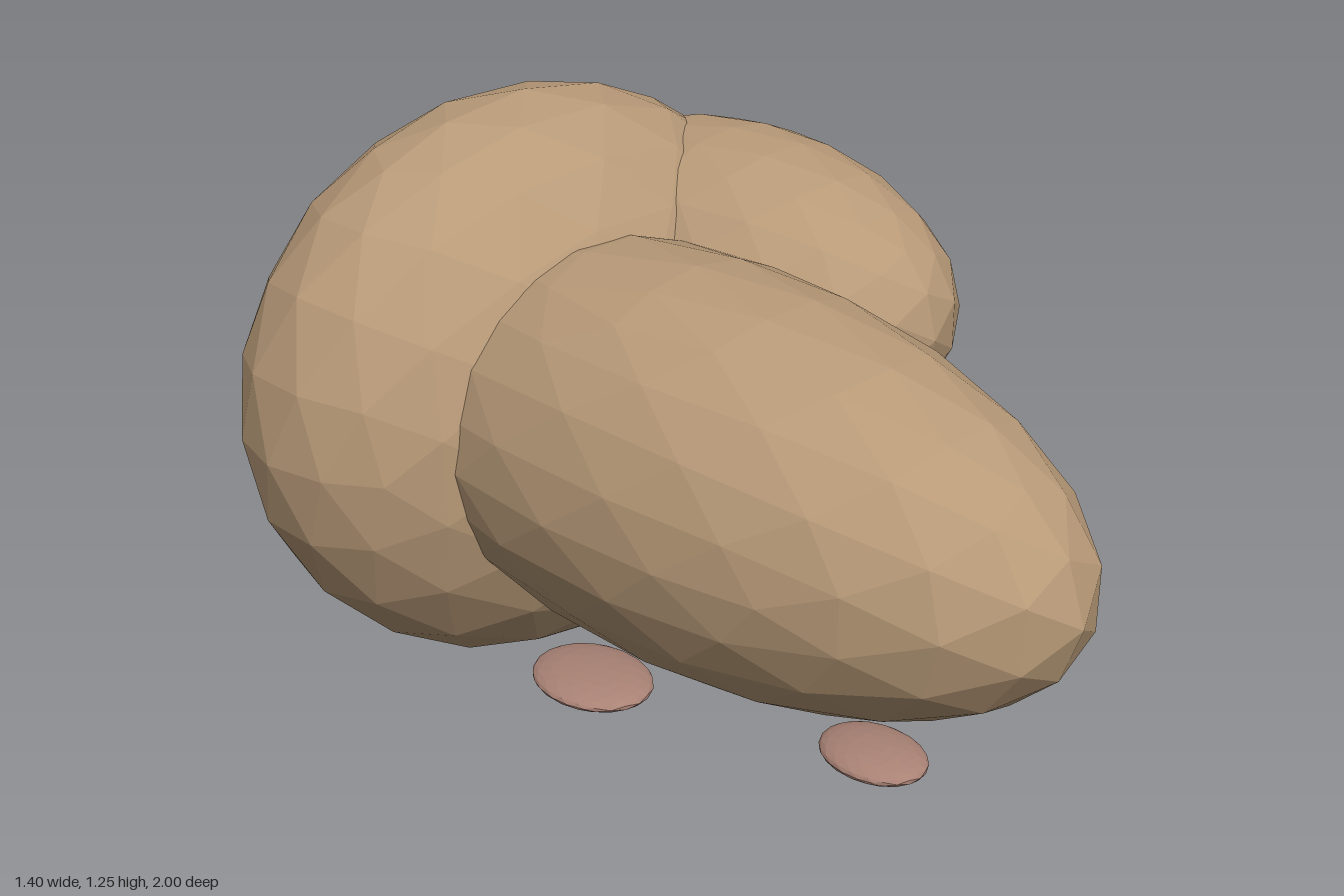
import * as THREE from 'three';

export function createModel() {
  const group = new THREE.Group();
  const tan = new THREE.MeshStandardMaterial({ color: 0xb89a78, flatShading: true });
  tan.name = 'tan';
  const rose = new THREE.MeshStandardMaterial({ color: 0xa98275, flatShading: true });
  rose.name = 'dusty rose';

  // faceted ellipsoid: centre and radii
  function ellipsoid(name, material, centre, radii) {
    const geometry = new THREE.IcosahedronGeometry(1, 3);
    geometry.scale(...radii);
    const mesh = new THREE.Mesh(geometry, material);
    mesh.name = name;
    mesh.position.set(...centre);
    group.add(mesh);
  }

  // three merged body masses
  ellipsoid('rearBody', tan, [-0.01, 0.625, -0.535], [0.695, 0.625, 0.465]);
  ellipsoid('longBody', tan, [-0.105, 0.645, 0.07], [0.405, 0.405, 0.93]);
  ellipsoid('sideBody', tan, [0.35, 0.825, -0.285], [0.35, 0.32, 0.575]);

  // flat pads underneath
  ellipsoid('frontPad', rose, [-0.043, 0.125, 0.5], [0.092, 0.028, 0.12]);
  ellipsoid('middlePad', rose, [-0.248, 0.125, -0.098], [0.113, 0.028, 0.143]);
  ellipsoid('rearPad', rose, [0.2, 0.125, -0.43], [0.092, 0.028, 0.12]);

  return group;
}
